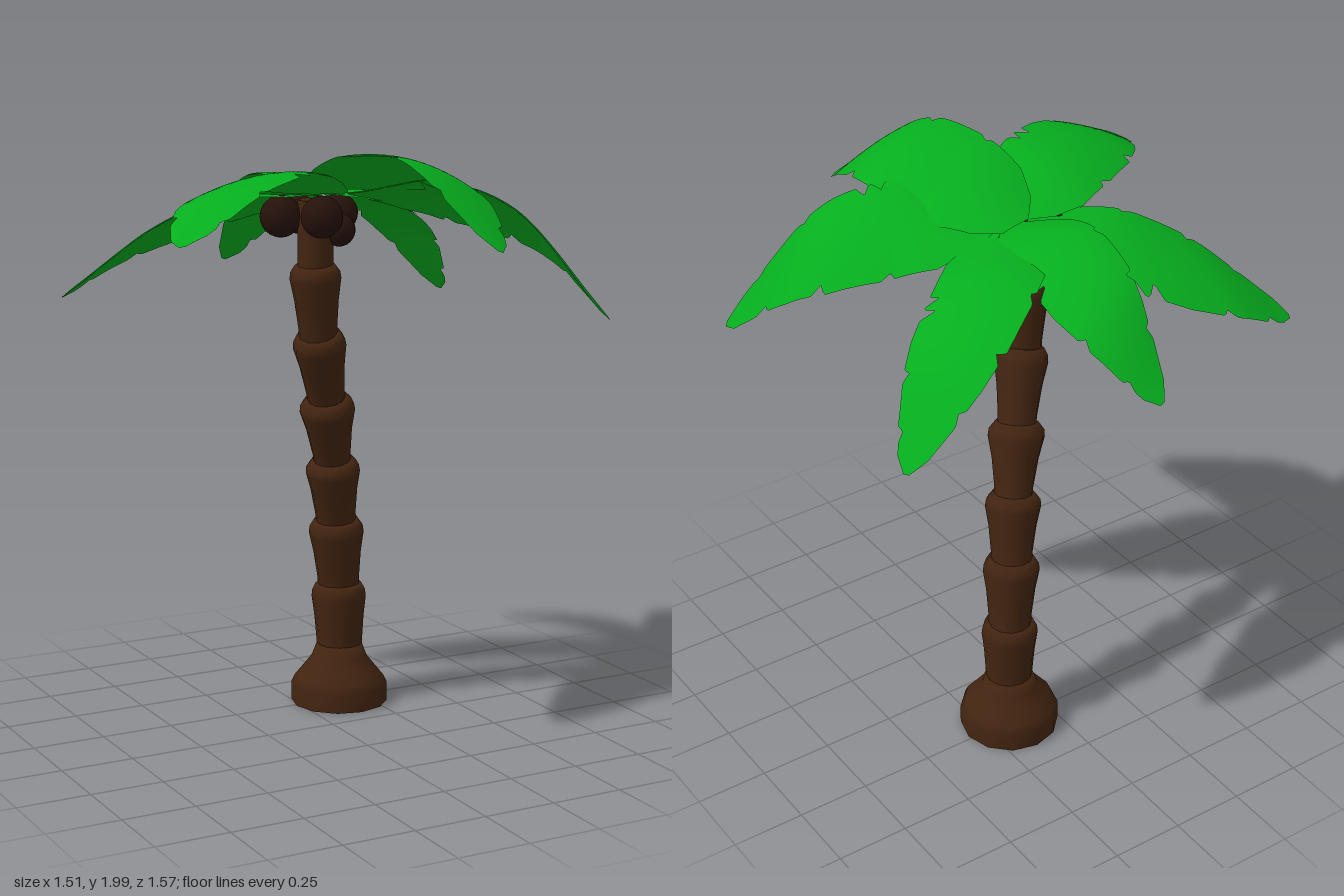
import * as THREE from 'three';

const V = (p) => new THREE.Vector3(...p);
const UP = new THREE.Vector3(0, 1, 0);
const bark = new THREE.MeshStandardMaterial({ color: 0x422410 });
const shell = new THREE.MeshStandardMaterial({ color: 0x26120b });
const green = new THREE.MeshStandardMaterial({ color: 0x06ad1e, side: THREE.DoubleSide });

function addMesh(parent, geometry, material, name) {
  const mesh = new THREE.Mesh(geometry, material);
  mesh.name = name;
  parent.add(mesh);
  return mesh;
}

// Trunk: flared foot, then stacked cups that follow a leaning line
function buildTrunk() {
  const trunk = new THREE.Group();
  trunk.name = 'trunk';

  const footProfile = [[0, 0.008], [0.17, 0.008], [0.17, 0.008], [0.17, 0.075], [0.158, 0.1], [0.125, 0.14], [0.097, 0.175], [0.08, 0.22], [0, 0.22]];
  const foot = addMesh(trunk, new THREE.LatheGeometry(footProfile.map(([r, y]) => new THREE.Vector2(r, y)), 12), bark, 'trunkFoot');
  foot.position.set(0.152, 0, -0.238);

  // joint centre, neck radius above it, bulge radius below it
  const joints = [
    { p: [0.153, 0.2, -0.238], neck: 0.08, bulge: 0 },
    { p: [0.148, 0.44, -0.236], neck: 0.073, bulge: 0.096 },
    { p: [0.122, 0.68, -0.208], neck: 0.07, bulge: 0.096 },
    { p: [0.085, 0.905, -0.165], neck: 0.065, bulge: 0.094 },
    { p: [0.03, 1.135, -0.105], neck: 0.065, bulge: 0.095 },
    { p: [-0.035, 1.37, -0.04], neck: 0.065, bulge: 0.09 },
    { p: [-0.06, 1.605, -0.015], neck: 0.06, bulge: 0.086 },
  ];
  for (let i = 0; i < joints.length - 1; i++) {
    const a = joints[i], b = joints[i + 1];
    const start = V(a.p), dir = V(b.p).sub(start), len = dir.length();
    const profile = [[a.neck, -0.03], [a.neck, 0.02], [a.neck * 0.55 + b.bulge * 0.45, len * 0.5], [b.bulge, len * 0.8],
      [b.bulge * 0.97, len * 0.9], [b.neck + 0.008, len], [0, len + 0.005]];
    const cup = addMesh(trunk, new THREE.LatheGeometry(profile.map(([r, y]) => new THREE.Vector2(r, y)), 12), bark, 'trunkSegment');
    cup.position.copy(start);
    cup.quaternion.setFromUnitVectors(UP, dir.normalize());
  }
  const crown = addMesh(trunk, new THREE.CylinderGeometry(0.058, 0.06, 0.24, 12), bark, 'trunkCrown');
  crown.position.set(-0.056, 1.7, -0.018);
  return trunk;
}

// Blade half width (0..1) along its length, with torn notches that open towards the tip
const outline = [[0, 0.3], [0.08, 0.68], [0.2, 0.95], [0.4, 1], [0.58, 0.96], [0.72, 0.81], [0.85, 0.57], [0.95, 0.32], [1, 0.06]];
function bladeWidth(u, notches) {
  let k = 0;
  while (k < outline.length - 2 && u > outline[k + 1][0]) k++;
  const [u0, w0] = outline[k], [u1, w1] = outline[k + 1];
  let w = w0 + (w1 - w0) * (u - u0) / (u1 - u0);
  for (const [at, depth] of notches) {
    const d = u < at ? (at - u) / 0.012 : (u - at) / 0.035;
    if (d < 1) w *= 1 - depth * (1 - d);
  }
  return w;
}

const notchSets = [
  [[0.4, 0.22], [0.46, 0.28], [0.7, 0.14], [0.88, 0.2]],
  [[0.36, 0.1], [0.6, 0.16], [0.8, 0.15]],
];

// Arched blade around a spine; roll tips it sideways (positive lifts its right edge)
function leafGeometry({ spine, half, roll, flip }) {
  const rows = 120, cols = 10;
  const curve = new THREE.CatmullRomCurve3(spine.map(V));
  const pos = [], index = [];
  for (let i = 0; i <= rows; i++) {
    const u = i / rows, c = curve.getPoint(u);
    const t = curve.getTangent(u).setY(0).normalize();
    const side = new THREE.Vector3().crossVectors(t, UP);
    const angle = THREE.MathUtils.degToRad(roll) * Math.min(1, 0.3 + u * 2);
    const across = side.multiplyScalar(Math.cos(angle)).addScaledVector(UP, Math.sin(angle));
    for (let j = 0; j <= cols; j++) {
      const s = 2 * j / cols - 1;
      const set = notchSets[(s > 0) === flip ? 0 : 1];
      const w = s * bladeWidth(u, set);
      const q = c.clone().addScaledVector(across, w * half);
      q.y -= 0.03 * w * w;
      pos.push(q.x, q.y, q.z);
      if (i < rows && j < cols) {
        const a = i * (cols + 1) + j, b = a + cols + 1;
        index.push(a, a + 1, b, a + 1, b + 1, b);
      }
    }
  }
  const g = new THREE.BufferGeometry();
  g.setAttribute('position', new THREE.Float32BufferAttribute(pos, 3));
  g.setIndex(index);
  g.computeVertexNormals();
  return g;
}

const leaves = [
  { name: 'backLeaf', half: 0.152, roll: -18, flip: true,
    spine: [[0.02, 1.84, -0.06], [0.01, 1.875, -0.28], [0.015, 1.785, -0.55], [-0.03, 1.54, -0.785]] },
  { name: 'backLeftLeaf', half: 0.172, roll: -9, flip: true,
    spine: [[0.03, 1.83, -0.07], [0.26, 1.82, -0.27], [0.495, 1.68, -0.415], [0.715, 1.42, -0.515]] },
  { name: 'frontLeftLeaf', half: 0.195, roll: 26, flip: true,
    spine: [[0.05, 1.84, 0], [0.3, 1.85, 0.16], [0.54, 1.745, 0.33], [0.745, 1.44, 0.53]] },
  { name: 'frontRightLeaf', half: 0.19, roll: -11, flip: false,
    spine: [[-0.02, 1.84, 0.01], [-0.26, 1.925, 0.12], [-0.51, 1.895, 0.26], [-0.75, 1.75, 0.45]] },
  { name: 'backRightLeaf', half: 0.175, roll: -18, flip: true,
    spine: [[-0.02, 1.83, -0.08], [-0.23, 1.81, -0.265], [-0.49, 1.68, -0.43], [-0.755, 1.48, -0.525]] },
  { name: 'frontLeaf', half: 0.188, roll: 20, flip: false,
    spine: [[0.02, 1.85, -0.08], [0.06, 1.945, 0.19], [0.13, 1.945, 0.48], [0.16, 1.72, 0.785]] },
];

export function createModel() {
  const model = new THREE.Group();
  model.name = 'palmTree';
  model.add(buildTrunk());

  const crown = new THREE.Group();
  crown.name = 'leaves';
  for (const leaf of leaves) addMesh(crown, leafGeometry(leaf), green, leaf.name);
  model.add(crown);

  // Coconuts clustered under the leaves
  const nuts = [[-0.155, 1.765, -0.075, 0.07], [-0.07, 1.77, 0.055, 0.07], [0.015, 1.72, 0.015, 0.055],
    [0.07, 1.765, -0.09, 0.065], [-0.07, 1.765, -0.11, 0.065]];
  for (const [x, y, z, r] of nuts) {
    addMesh(model, new THREE.SphereGeometry(r, 16, 12), shell, 'coconut').position.set(x, y, z);
  }
  return model;
}
